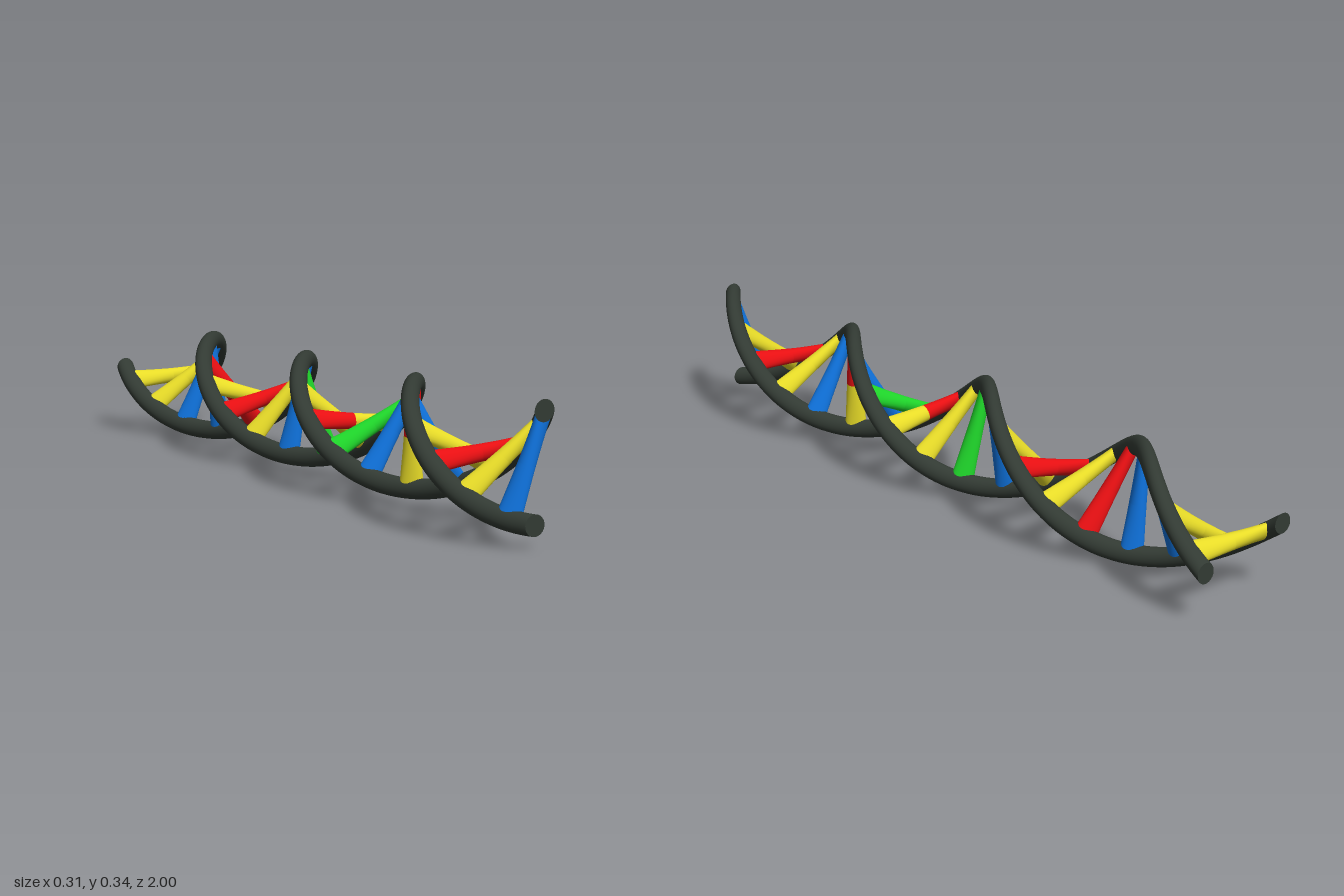
import * as THREE from 'three';
import { mergeVertices } from 'three/addons/utils/BufferGeometryUtils.js';

const RADIUS = 0.128;       // axis to strand centre
const STRAND = 0.0255;      // strand thickness (radius)
const RUNG = 0.021;         // rung thickness (radius)
const TWIST = 5.57;         // radians per unit of length

const material = (name, color) => {
  const m = new THREE.MeshStandardMaterial({ color });
  m.name = name;
  return m;
};

// Turns every point about the long axis by its z, then lifts it to the slightly sloping axis.
function twist(geometry) {
  geometry.deleteAttribute('uv');
  const g = mergeVertices(geometry);
  const p = g.attributes.position;
  for (let i = 0; i < p.count; i++) {
    const x = p.getX(i), y = p.getY(i), z = p.getZ(i);
    const a = 0.08 + (1 - z) * TWIST;
    const c = Math.cos(a), s = Math.sin(a);
    p.setXY(i, x * c + y * s, y * c - x * s + 0.166 + 0.018 * z);
  }
  g.computeVertexNormals();
  return g;
}

export function createModel() {
  const model = new THREE.Group();
  model.name = 'doubleHelix';

  const dark = material('darkStrand', 0x323a33);
  const colours = {
    b: material('blue', 0x0f74e0),
    y: material('yellow', 0xeade28),
    r: material('red', 0xe80f12),
    g: material('green', 0x1fd62a),
  };

  const add = (name, geometry, mat) => {
    const mesh = new THREE.Mesh(twist(geometry), mat);
    mesh.name = name;
    model.add(mesh);
  };

  // Two opposite strands
  for (const side of [1, -1]) {
    const strand = new THREE.CylinderGeometry(STRAND, STRAND, 2, 24, 160);
    strand.rotateX(Math.PI / 2).translate(0, side * RADIUS, 0);
    add(side > 0 ? 'strandA' : 'strandB', strand, dark);
  }

  // Rungs from front to back; each has one half per strand
  const halfA = 'byrybybgrygbyryrbbyy';
  const halfB = 'byrybrbgyygbyryrbbyy';
  for (let i = 0; i < halfA.length; i++) {
    [halfA[i], halfB[i]].forEach((key, h) => {
      const half = new THREE.CylinderGeometry(RUNG, RUNG, RADIUS, 24, 4, true);
      half.translate(0, (h ? -1 : 1) * RADIUS / 2, 0.947 - 0.1 * i);
      add(`rung${i + 1}${h ? 'B' : 'A'}`, half, colours[key]);
    });
  }
  return model;
}
